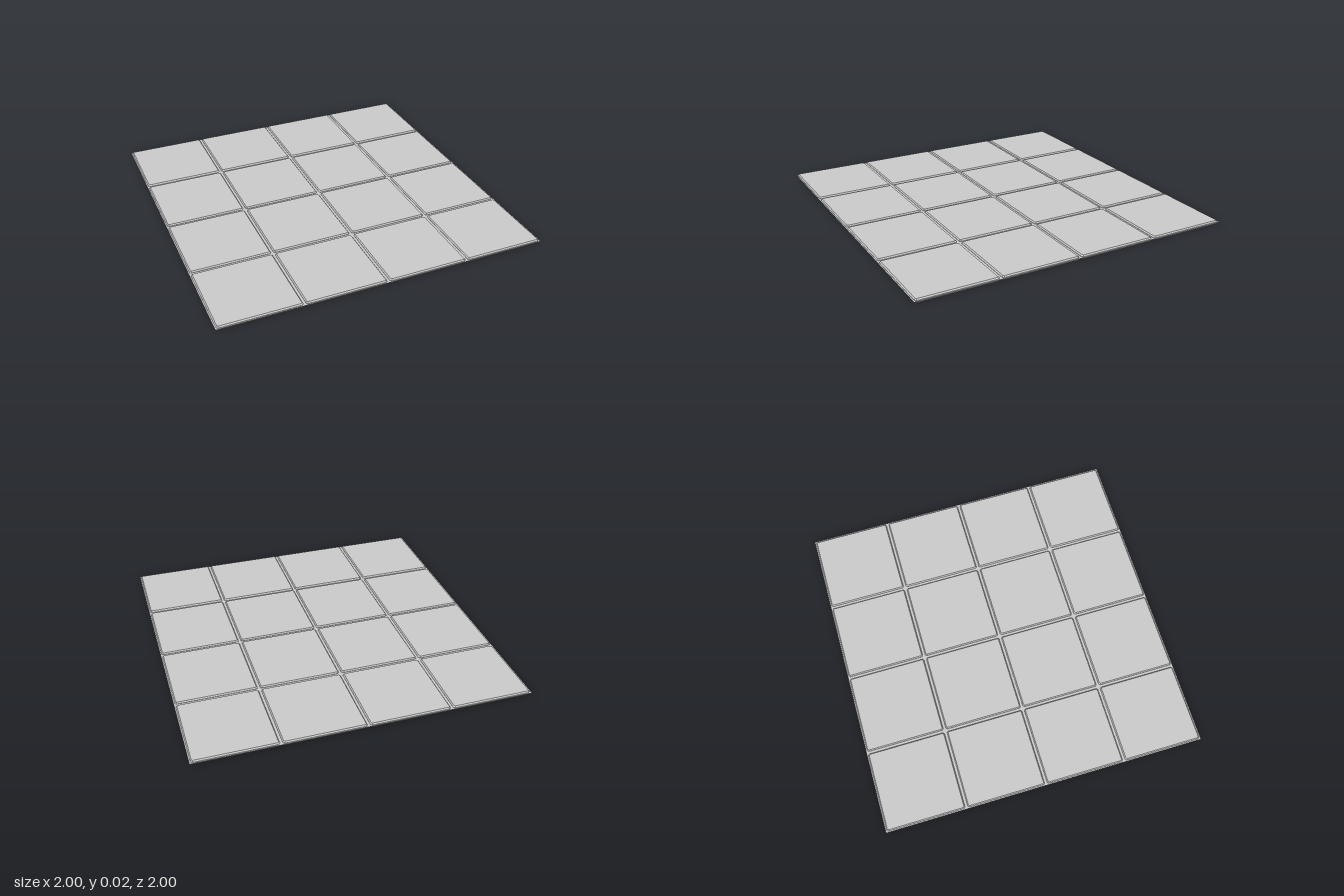
import * as THREE from 'three';

const COUNT = 4, CELL = 0.5, HEIGHT = 0.02;

// Square outline with clipped corners, at height y
function ring(half, clip, y) {
  const a = half, b = half - clip;
  return [[a, b], [b, a], [-b, a], [-a, b], [-a, -b], [-b, -a], [b, -a], [a, -b]]
    .map(([x, z]) => [x, y, z]);
}

// Closed slab with upright lower walls and a chamfered upper rim
function tileGeometry() {
  const rings = [ring(0.242, 0.008, 0), ring(0.242, 0.008, 0.012), ring(0.236, 0.006, HEIGHT)];
  const n = rings[0].length, index = [];
  for (let r = 0; r < rings.length - 1; r++) {
    for (let i = 0; i < n; i++) {
      const a = r * n + i, b = r * n + (i + 1) % n;
      index.push(a, a + n, b, b, a + n, b + n);
    }
  }
  const top = (rings.length - 1) * n;
  for (let i = 1; i < n - 1; i++) {
    index.push(0, i, i + 1);                     // underside
    index.push(top, top + i + 1, top + i);       // face
  }
  const geometry = new THREE.BufferGeometry();
  geometry.setAttribute('position', new THREE.Float32BufferAttribute(rings.flat(2), 3));
  geometry.setIndex(index);
  const flat = geometry.toNonIndexed();
  flat.computeVertexNormals();
  return flat;
}

export function createModel() {
  const model = new THREE.Group();
  model.name = 'tiledFloor';
  const material = new THREE.MeshStandardMaterial({ color: 0xcccccc, flatShading: true });
  const sheetMaterial = new THREE.MeshStandardMaterial({ color: 0xcccccc, side: THREE.DoubleSide });

  // Thin grout sheet joining the tiles at mid height
  const grout = new THREE.Mesh(new THREE.PlaneGeometry(COUNT * CELL, COUNT * CELL), sheetMaterial);
  grout.name = 'grout';
  grout.rotation.x = -Math.PI / 2;
  grout.position.y = HEIGHT / 2;
  model.add(grout);

  // Grid of tiles
  const geometry = tileGeometry();
  const centre = (i) => (i - (COUNT - 1) / 2) * CELL;
  for (let row = 0; row < COUNT; row++) {
    for (let col = 0; col < COUNT; col++) {
      const tile = new THREE.Mesh(geometry, material);
      tile.name = `tile_${row}_${col}`;
      tile.position.set(centre(col), 0, centre(row));
      model.add(tile);
    }
  }
  return model;
}
